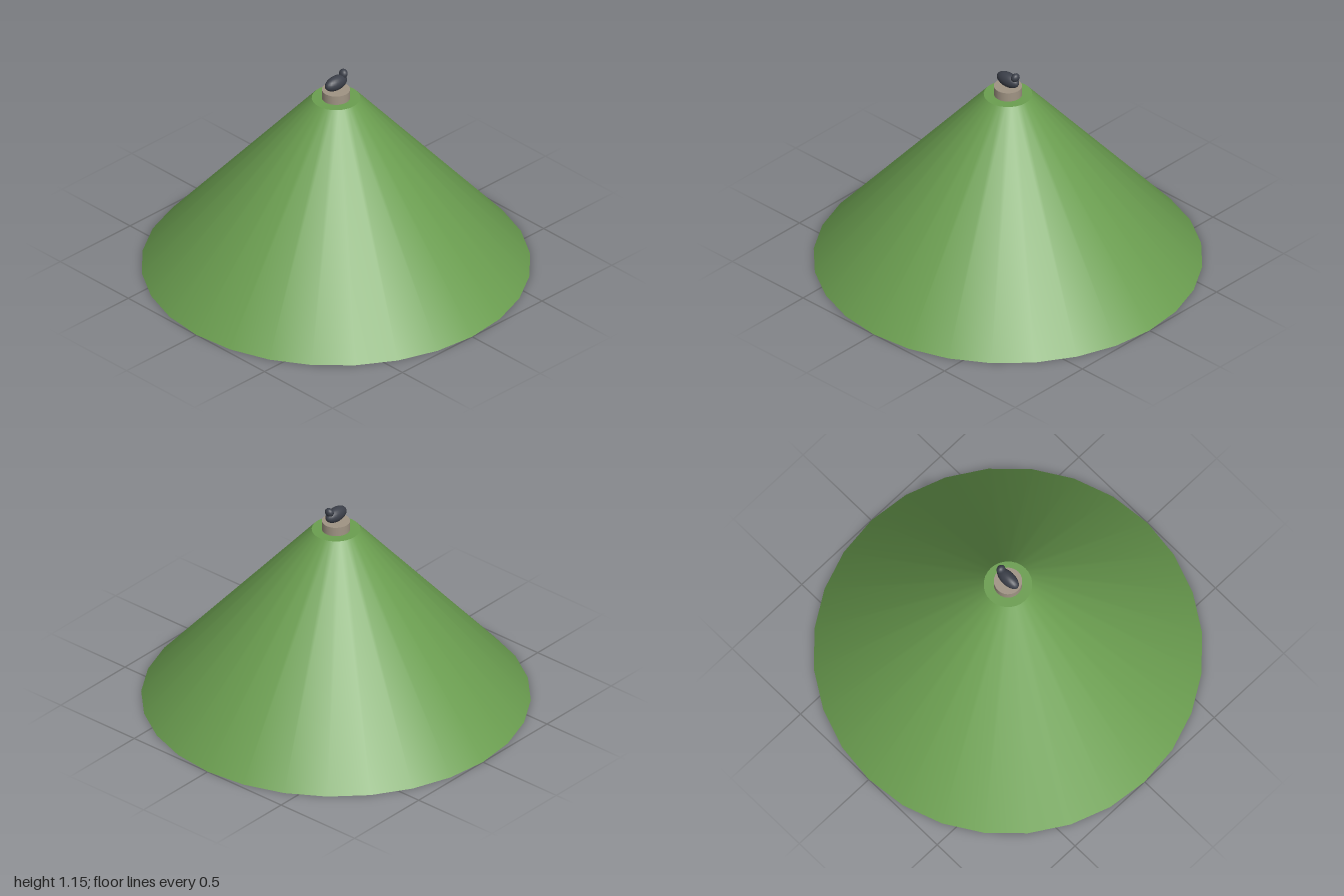
import * as THREE from 'three';

export function createModel() {
  const group = new THREE.Group();
  const material = (name, color) => {
    const m = new THREE.MeshStandardMaterial({ color });
    m.name = name;
    return m;
  };
  const grass = material('grass green', 0x6b9e50);
  const stone = material('warm stone', 0xa09484);
  const slate = material('dark slate', 0x3c404a);

  const add = (name, geometry, mat, x, y) => {
    const mesh = new THREE.Mesh(geometry, mat);
    mesh.name = name;
    mesh.position.set(x, y, 0);
    group.add(mesh);
    return mesh;
  };

  // Smooth conical hill with a flat summit
  add('hill', new THREE.CylinderGeometry(0.125, 1, 1, 28), grass, 0, 0.5);

  // Round plinth on the summit
  add('plinth', new THREE.CylinderGeometry(0.073, 0.073, 0.05, 24), stone, 0, 1.025);

  // Small resting figure: oval body with a raised head toward +x
  add('figureBody', new THREE.SphereGeometry(1, 20, 14), slate, 0, 1.088)
    .scale.set(0.072, 0.039, 0.036);
  const head = add('figureHead', new THREE.SphereGeometry(1, 16, 12), slate, 0.052, 1.122);
  head.scale.set(0.02, 0.025, 0.025);
  head.rotation.z = -0.35;

  return group;
}
